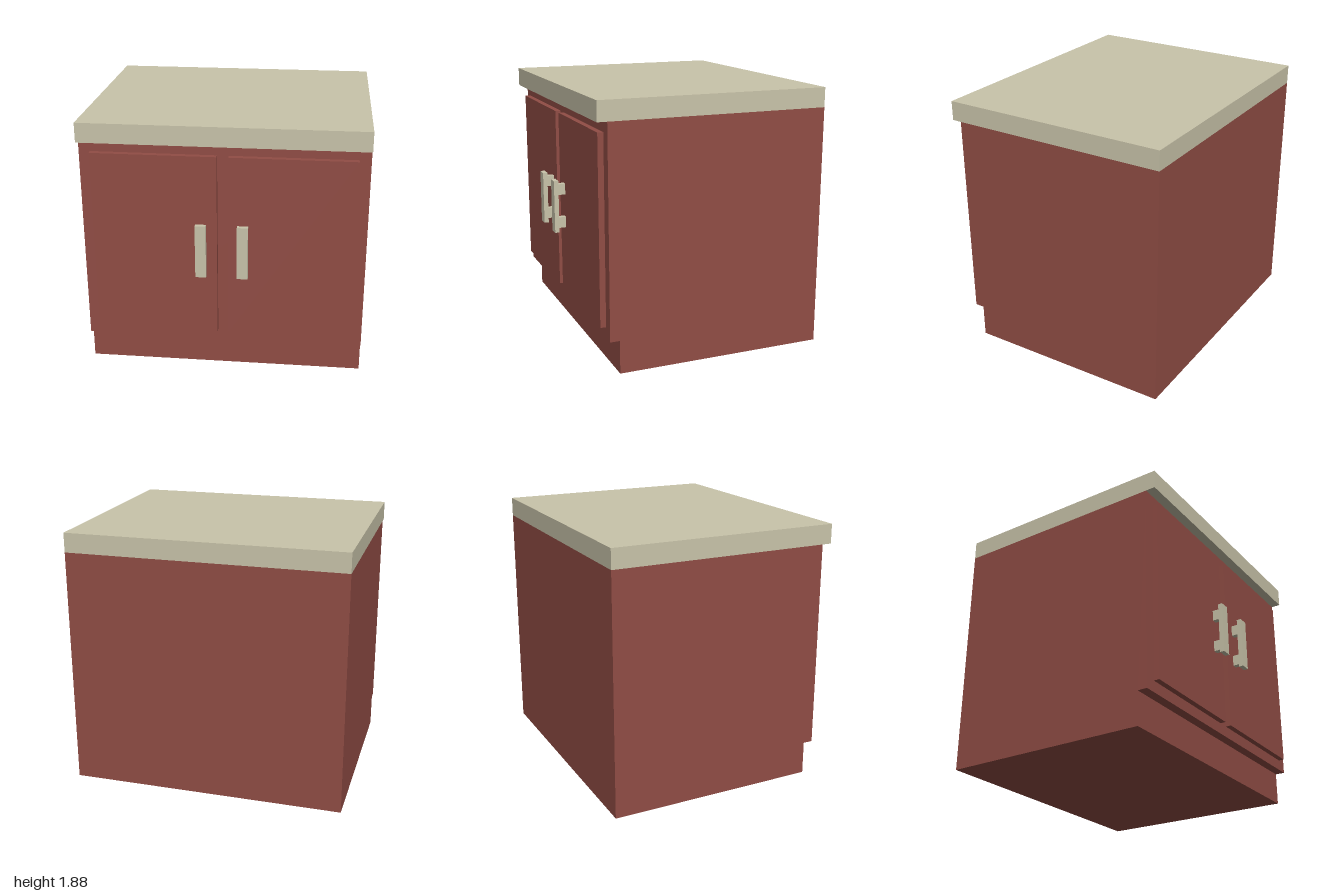
import * as THREE from 'three';

const paint = new THREE.MeshStandardMaterial({ name: 'red paint', color: 0x914d45 });
const cream = new THREE.MeshStandardMaterial({ name: 'cream', color: 0xc9c4aa });

// Box given by its extents along each axis
function box(name, material, [x0, x1], [y0, y1], [z0, z1]) {
  const mesh = new THREE.Mesh(new THREE.BoxGeometry(x1 - x0, y1 - y0, z1 - z0), material);
  mesh.position.set((x0 + x1) / 2, (y0 + y1) / 2, (z0 + z1) / 2);
  mesh.name = name;
  return mesh;
}

export function createModel() {
  const model = new THREE.Group();
  model.name = 'cabinet';

  // Carcass: side profile (z, y) with a recessed toe kick, extruded across the width
  const profile = new THREE.Shape([
    [-0.865, 0], [0.665, 0], [0.665, 0.24], [0.735, 0.24], [0.735, 1.74], [-0.865, 1.74],
  ].map(([z, y]) => new THREE.Vector2(z, y)));
  const carcassGeometry = new THREE.ExtrudeGeometry(profile, { depth: 2, bevelEnabled: false });
  carcassGeometry.translate(0, 0, -1).rotateY(-Math.PI / 2);
  const carcass = new THREE.Mesh(carcassGeometry, paint);
  carcass.name = 'carcass';
  model.add(carcass);

  // Worktop overhanging the front
  model.add(box('worktop', cream, [-1, 1], [1.74, 1.88], [-0.865, 0.805]));

  // Mirrored doors, each with a bar handle on two posts
  for (const [side, s] of [['left', 1], ['right', -1]]) {
    const span = (a, b) => (s > 0 ? [a, b] : [-b, -a]);
    const door = new THREE.Group();
    door.name = `${side}Door`;
    door.add(box('doorPanel', paint, span(0.04, 0.92), [0.32, 1.66], [0.735, 0.776]));

    const handle = new THREE.Group();
    handle.name = 'handle';
    handle.add(box('handleBar', cream, span(0.108, 0.184), [0.797, 1.186], [0.832, 0.865]));
    for (const y of [0.826, 1.076]) {
      handle.add(box('handlePost', cream, span(0.126, 0.166), [y, y + 0.08], [0.776, 0.832]));
    }
    door.add(handle);
    model.add(door);
  }

  return model;
}
